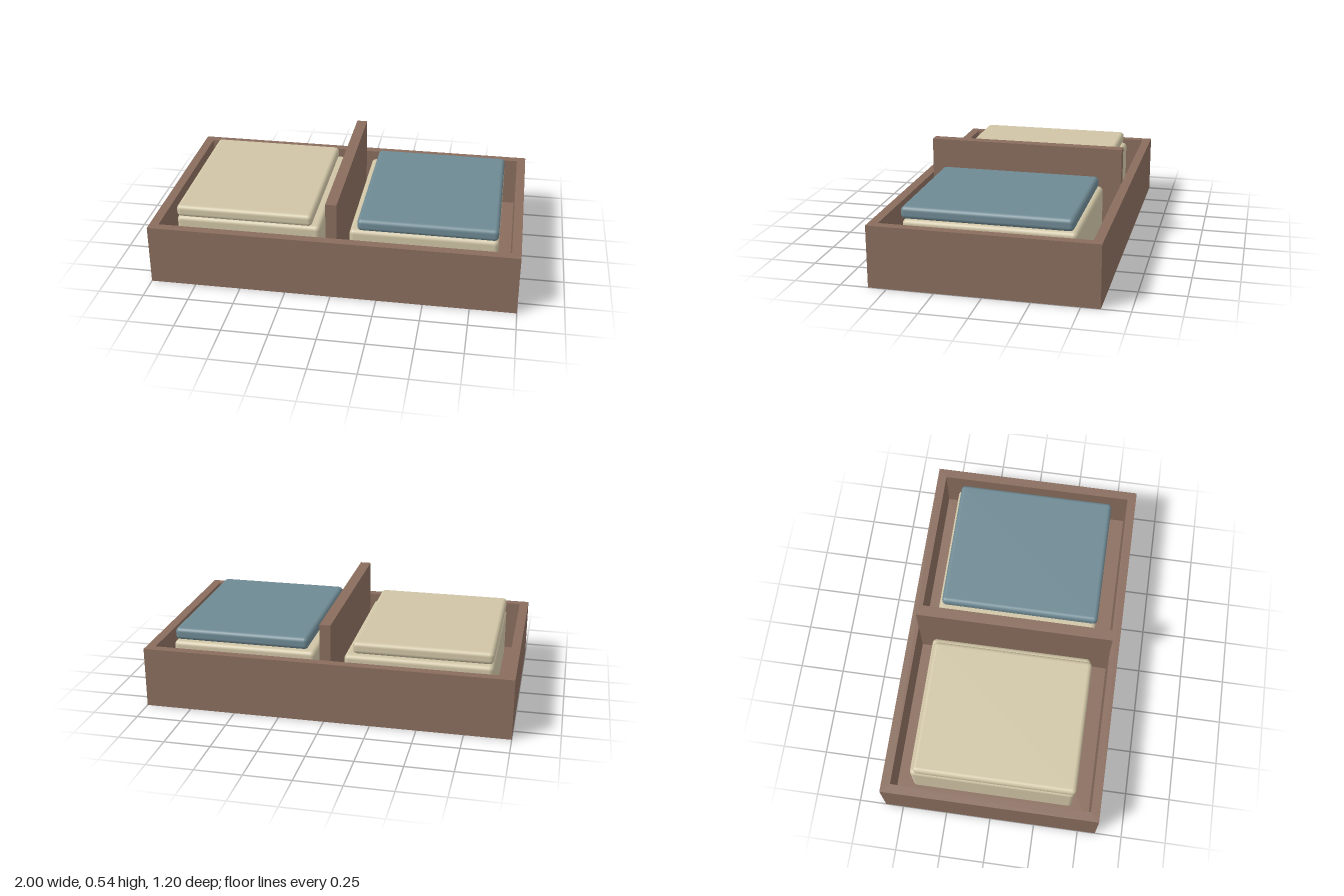
import * as THREE from 'three';
import { RoundedBoxGeometry } from 'three/addons/geometries/RoundedBoxGeometry.js';

export function createModel() {
  const model = new THREE.Group();
  model.name = 'dividedTray';

  const mat = (name, color) => {
    const m = new THREE.MeshStandardMaterial({ color });
    m.name = name;
    return m;
  };
  const brown = mat('brown wood', 0x896d5e);
  const cream = mat('cream fabric', 0xcfc4a5);
  const blue = mat('blue fabric', 0x6e8993);

  const add = (name, geometry, material, x, y, z) => {
    const mesh = new THREE.Mesh(geometry, material);
    mesh.name = name;
    mesh.position.set(x, y, z);
    model.add(mesh);
    return mesh;
  };

  // Tray walls: rectangular frame extruded upwards
  const height = 0.335;
  const frame = new THREE.Shape([[-1, -0.6], [1, -0.6], [1, 0.6], [-1, 0.6]].map(p => new THREE.Vector2(...p)));
  frame.holes.push(new THREE.Path([[-0.95, -0.55], [-0.95, 0.55], [0.95, 0.55], [0.95, -0.55]].map(p => new THREE.Vector2(...p))));
  const walls = new THREE.ExtrudeGeometry(frame, { depth: height, bevelEnabled: false });
  walls.rotateX(-Math.PI / 2);
  add('trayWalls', walls, brown, 0, 0, 0);

  // Tray floor and the raised central divider
  add('trayFloor', new THREE.BoxGeometry(1.9, 0.05, 1.1), brown, 0, 0.025, 0);
  add('divider', new THREE.BoxGeometry(0.06, 0.485, 1.1), brown, 0, 0.2925, 0);

  // A wide lower pad with a thinner, narrower pad on top, on each side
  for (const side of [-1, 1]) {
    const label = side > 0 ? 'left' : 'right';
    add(label + 'LowerPad', new RoundedBoxGeometry(0.8, 0.286, 0.91, 4, 0.025), cream, side * 0.48, 0.193, -0.004);
    add(label + 'TopPad', new RoundedBoxGeometry(0.755, 0.068, 0.898, 4, 0.024), side > 0 ? blue : cream, side * 0.5, 0.371, 0.009);
  }

  return model;
}
